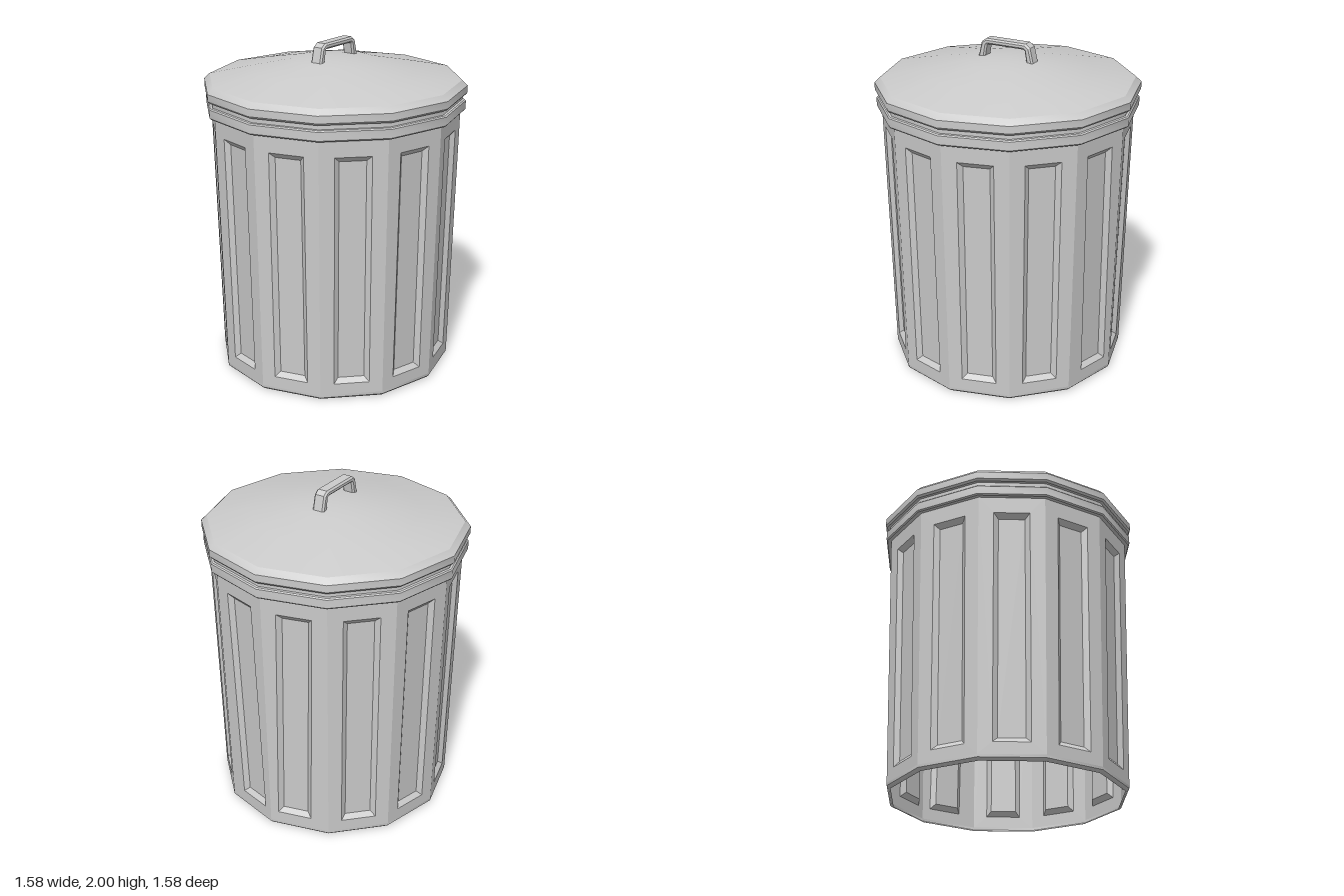
import * as THREE from 'three';
import { toCreasedNormals } from 'three/addons/utils/BufferGeometryUtils.js';

const SIDES = 12;
const STEP = (Math.PI * 2) / SIDES;
const smooth = new THREE.MeshStandardMaterial({ color: 0xcccccc, side: THREE.DoubleSide });
const faceted = new THREE.MeshStandardMaterial({ color: 0xcccccc, side: THREE.DoubleSide, flatShading: true });

// Twelve-sided ring or cap from a [radius, y] profile
function turned(name, profile) {
  const points = profile.map(([r, y]) => new THREE.Vector2(r, y));
  const geometry = toCreasedNormals(new THREE.LatheGeometry(points, SIDES), 0.56);
  const mesh = new THREE.Mesh(geometry, smooth);
  mesh.name = name;
  return mesh;
}

// One wall facet with a bevelled, recessed panel; lean shifts the panel's lower end sideways
function wallPanel(angle, lean) {
  const y0 = 0.03, y1 = 1.6;
  const radius = (y) => 0.714 + (0.752 - 0.714) * ((y - y0) / (y1 - y0));
  const place = (u, y, depth) => {
    const d = radius(y) * Math.cos(STEP / 2) - depth;
    return [
      Math.sin(angle) * d + Math.cos(angle) * u, y,
      Math.cos(angle) * d - Math.sin(angle) * u,
    ];
  };
  const half = (y) => radius(y) * Math.sin(STEP / 2);
  const ring = (w0, w1, low, high, depth, shift) => [
    place(-w0 + shift, low, depth), place(w0 + shift, low, depth),
    place(w1, high, depth), place(-w1, high, depth),
  ];
  const rings = [
    ring(half(y0), half(y1), y0, y1, 0, 0),
    ring(0.105, 0.105, 0.1, 1.495, 0, lean),
    ring(0.077, 0.077, 0.13, 1.465, 0.025, lean),
  ];
  const positions = [];
  const quad = (a, b, c, d) => positions.push(...a, ...b, ...c, ...a, ...c, ...d);
  for (let k = 0; k < 2; k++) {
    for (let i = 0; i < 4; i++) {
      const j = (i + 1) % 4;
      quad(rings[k][i], rings[k][j], rings[k + 1][j], rings[k + 1][i]);
    }
  }
  quad(...rings[2]);
  const geometry = new THREE.BufferGeometry();
  geometry.setAttribute('position', new THREE.Float32BufferAttribute(positions, 3));
  geometry.computeVertexNormals();
  const mesh = new THREE.Mesh(geometry, faceted);
  mesh.name = 'wallPanel';
  return mesh;
}

// Chamfered bracket handle
function lidHandle() {
  const right = [[0.135, 1.965], [0.15, 1.88], [0.175, 1.88], [0.152, 1.972], [0.128, 1.99]];
  const inner = [0.122, 1.975];
  const half = [inner, ...right];
  const outline = [...half, ...half.map(([x, y]) => [-x, y]).reverse()];
  const shape = new THREE.Shape(outline.map(([x, y]) => new THREE.Vector2(x, y)));
  const geometry = new THREE.ExtrudeGeometry(shape, {
    depth: 0.056, bevelThickness: 0.01, bevelSize: 0.01, bevelSegments: 1,
  });
  geometry.translate(0, 0, -0.028);
  const mesh = new THREE.Mesh(geometry, faceted);
  mesh.name = 'lidHandle';
  return mesh;
}

export function createModel() {
  const can = new THREE.Group();
  can.name = 'dustbin';

  // Wall of recessed panels, open at the bottom
  const wall = new THREE.Group();
  wall.name = 'wall';
  const leans = { 2: 0.03, 3: -0.03 };
  for (let i = 0; i < SIDES; i++) wall.add(wallPanel((i + 0.5) * STEP, leans[i] || 0));
  can.add(wall);

  // Rounded foot edge
  can.add(turned('footEdge', [[0.69, 0], [0.702, 0.003], [0.713, 0.014], [0.714, 0.03]]));

  // Rim band and the neck below the lid
  can.add(turned('rim', [
    [0.745, 1.595], [0.775, 1.595], [0.782, 1.603], [0.782, 1.653],
    [0.775, 1.66], [0.762, 1.662], [0.762, 1.7],
  ]));

  // Lid with a rolled edge and a shallow dome
  const lid = new THREE.Group();
  lid.name = 'lid';
  lid.add(turned('lidCover', [
    [0.755, 1.69], [0.78, 1.69], [0.79, 1.702], [0.79, 1.745], [0.757, 1.777],
    [0.5, 1.833], [0.25, 1.883], [0.12, 1.897], [0, 1.903],
  ]));
  lid.add(lidHandle());
  can.add(lid);
  return can;
}
